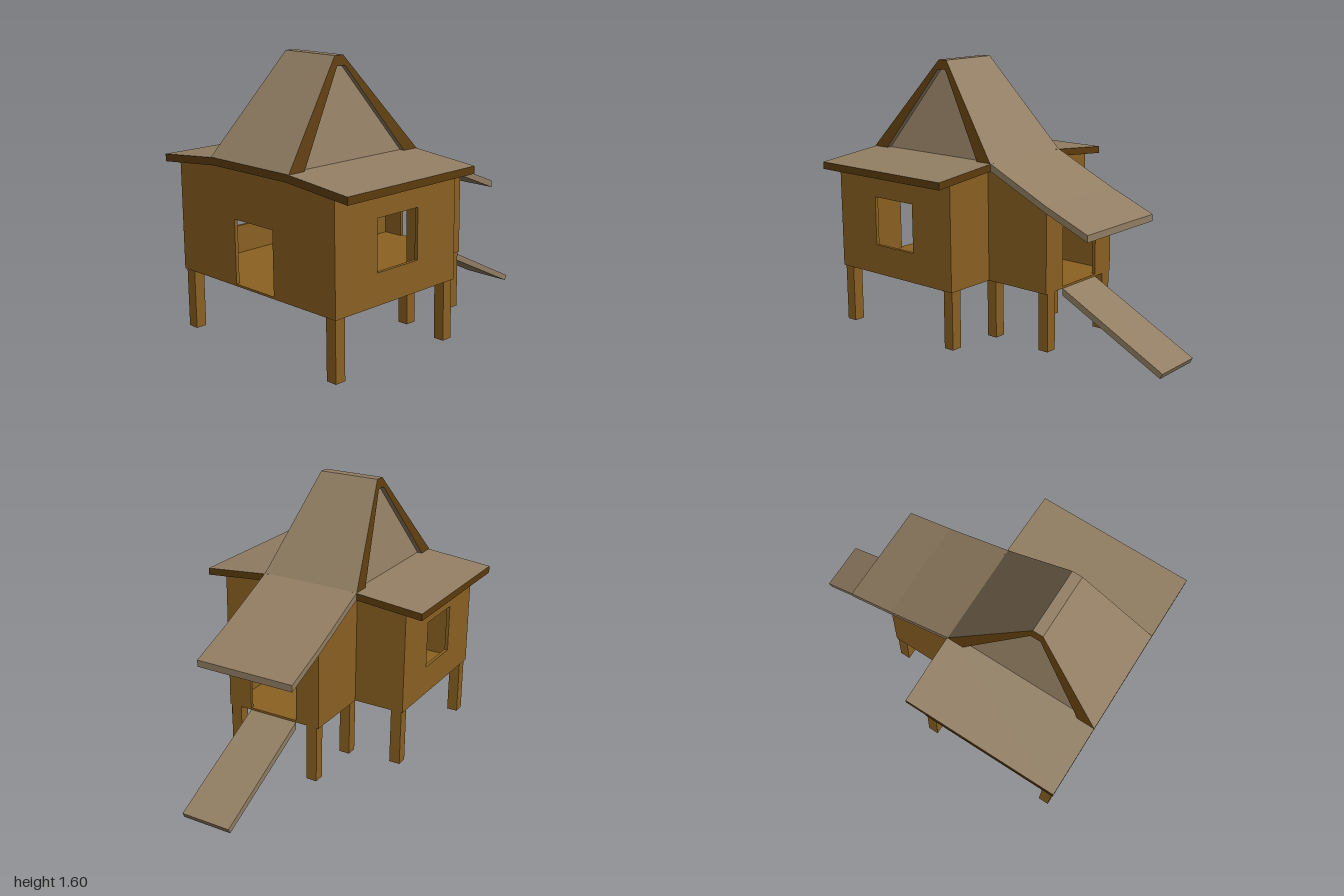
import * as THREE from 'three';

const mat = (name, color, side = THREE.FrontSide) => {
  const m = new THREE.MeshStandardMaterial({ color, side });
  m.name = name;
  return m;
};

export function createModel() {
  const wall = mat('wallBrown', 0x8b6122);
  const roof = mat('roofTan', 0x927e63, THREE.DoubleSide);
  const trim = mat('trimDarkBrown', 0x5c3c0e);
  const group = new THREE.Group();

  const add = (name, geometry, material) => {
    const mesh = new THREE.Mesh(geometry, material);
    mesh.name = name;
    group.add(mesh);
    return mesh;
  };
  const toShape = (pts) => new THREE.Shape(pts.map(([a, b]) => new THREE.Vector2(a, b)));
  const rect = (a0, a1, b0, b1) => [[a0, b0], [a1, b0], [a1, b1], [a0, b1]];

  // Outline in (x, y), extruded along z and centred on zCentre
  const extrudeZ = (pts, depth, zCentre, hole) => {
    const shape = toShape(pts);
    if (hole) shape.holes.push(toShape(hole));
    return new THREE.ExtrudeGeometry(shape, { depth, bevelEnabled: false })
      .translate(0, 0, zCentre - depth / 2);
  };
  // Outline in (z, y), extruded along x and centred on xCentre
  const extrudeX = (pts, depth, xCentre, hole) =>
    extrudeZ(pts, depth, 0, hole).rotateY(-Math.PI / 2).translate(xCentre, 0, 0);
  const box = (x0, x1, y0, y1, z0, z1) =>
    new THREE.BoxGeometry(x1 - x0, y1 - y0, z1 - z0)
      .translate((x0 + x1) / 2, (y0 + y1) / 2, (z0 + z1) / 2);
  const moveVertices = (geo, rule) => {
    const p = geo.attributes.position;
    for (let i = 0; i < p.count; i++) p.setXYZ(i, ...rule(p.getX(i), p.getY(i), p.getZ(i)));
    geo.computeVertexNormals();
    return geo;
  };

  const T = 0.02; // wall thickness
  const base = 0.37;

  // Floors
  add('mainFloor', box(-0.61, 0.61, base, base + 0.012, 0.09, 0.98), wall);
  add('rearFloor', box(-0.3, 0.3, base, base + 0.012, -0.33, 0.09), wall);

  // Front wall with doorway cut into its lower edge
  add('frontWall', extrudeZ([
    [-0.61, base], [-0.152, base], [-0.152, 0.74], [0.152, 0.74], [0.152, base], [0.61, base],
    [0.61, 0.986], [0.31, 1.014], [-0.31, 1.014], [-0.61, 0.986],
  ], T, 0.98 - T / 2), wall);

  // Rear porch wall with doorway
  add('rearWall', extrudeZ([
    [-0.3, base], [-0.152, base], [-0.152, 0.725], [0.152, 0.725], [0.152, base], [0.3, base],
    [0.3, 0.832], [-0.3, 0.832],
  ], T, -0.33 + T / 2), wall);

  // Gable width narrows with height
  const halfWidth = (y) => 0.31 - (y - 1.055) * 0.222;

  for (const s of [-1, 1]) {
    const side = s > 0 ? 'left' : 'right';

    // Side wall with a window
    add(side + 'SideWall', extrudeX(rect(0.09, 0.98, base, 0.986), T, s * (0.61 - T / 2),
      rect(0.385, 0.685, 0.545, 0.83)), wall);
    // Short return wall and rear porch side wall
    add(side + 'ReturnWall', extrudeZ([
      [s * 0.28, base], [s * 0.61, base], [s * 0.61, 0.986], [s * 0.28, 1.014],
    ], T, 0.09 + T / 2), wall);
    add(side + 'PorchWall', extrudeX([
      [-0.33, base], [0.1, base], [0.1, 1.02], [0.06, 1.012], [-0.33, 0.832],
    ], T, s * (0.3 - T / 2)), wall);

    // Gently sloping side roof: tan faces, dark edges
    const plan = toShape(rect(Math.min(s * 0.28, s * 0.72), Math.max(s * 0.28, s * 0.72), -1, -0.062));
    const slab = new THREE.ExtrudeGeometry(plan, { depth: 0.042, bevelEnabled: false })
      .rotateX(-Math.PI / 2).translate(0, -0.042, 0);
    slab.translate(0, 0, 0);
    moveVertices(slab, (x, y, z) => [x, y + 1.055 - (Math.abs(x) - 0.29) * 0.095, z]);
    add(side + 'SideRoof', slab, [roof, trim]);

    // Recessed gable panel leaning with the roof edge
    const panel = new THREE.ShapeGeometry(toShape(
      [[0.905, 1.045], [0.565, 1.55], [0.5, 1.55], [0.155, 1.045]]));
    moveVertices(panel, (z, y) => [s * (halfWidth(y) - 0.03), y, z]);
    add(side + 'GablePanel', panel, roof);

    // Legs
    for (const [x, z] of [[0.567, 0.94], [0.567, 0.128], [0.255, 0.08], [0.255, -0.298]]) {
      add(side + 'Leg', box(s * x - 0.033, s * x + 0.033, 0.03, base, z - 0.032, z + 0.032), wall);
    }
  }

  // Fascia joining the side roofs below the front of the gable
  add('frontFascia', box(-0.28, 0.28, 1.013, 1.055, 0.9, 1.0), trim);

  // Steep gable roof: tan slopes with dark end bands
  const gable = extrudeX([
    [1.0, 1.055], [0.565, 1.595], [0.505, 1.595], [0.065, 1.055],
    [0.165, 1.055], [0.503, 1.54], [0.561, 1.54], [0.895, 1.055],
  ], 1, 0);
  moveVertices(gable, (x, y, z) => [Math.sign(x) * halfWidth(y), y, z]);
  add('gableRoof', gable, [trim, roof]);

  // Rear roof running down over the porch
  add('rearRoof', extrudeX([
    [0.067, 1.057], [-0.33, 0.872], [-0.615, 0.755], [-0.615, 0.715], [-0.33, 0.832], [0.067, 1.015],
  ], 0.62, 0), roof);

  // Entrance ramp
  add('ramp', extrudeX([[-0.33, base], [-1.0, 0.03], [-0.985, 0.0], [-0.33, 0.328]], 0.305, 0), roof);

  return group;
}
